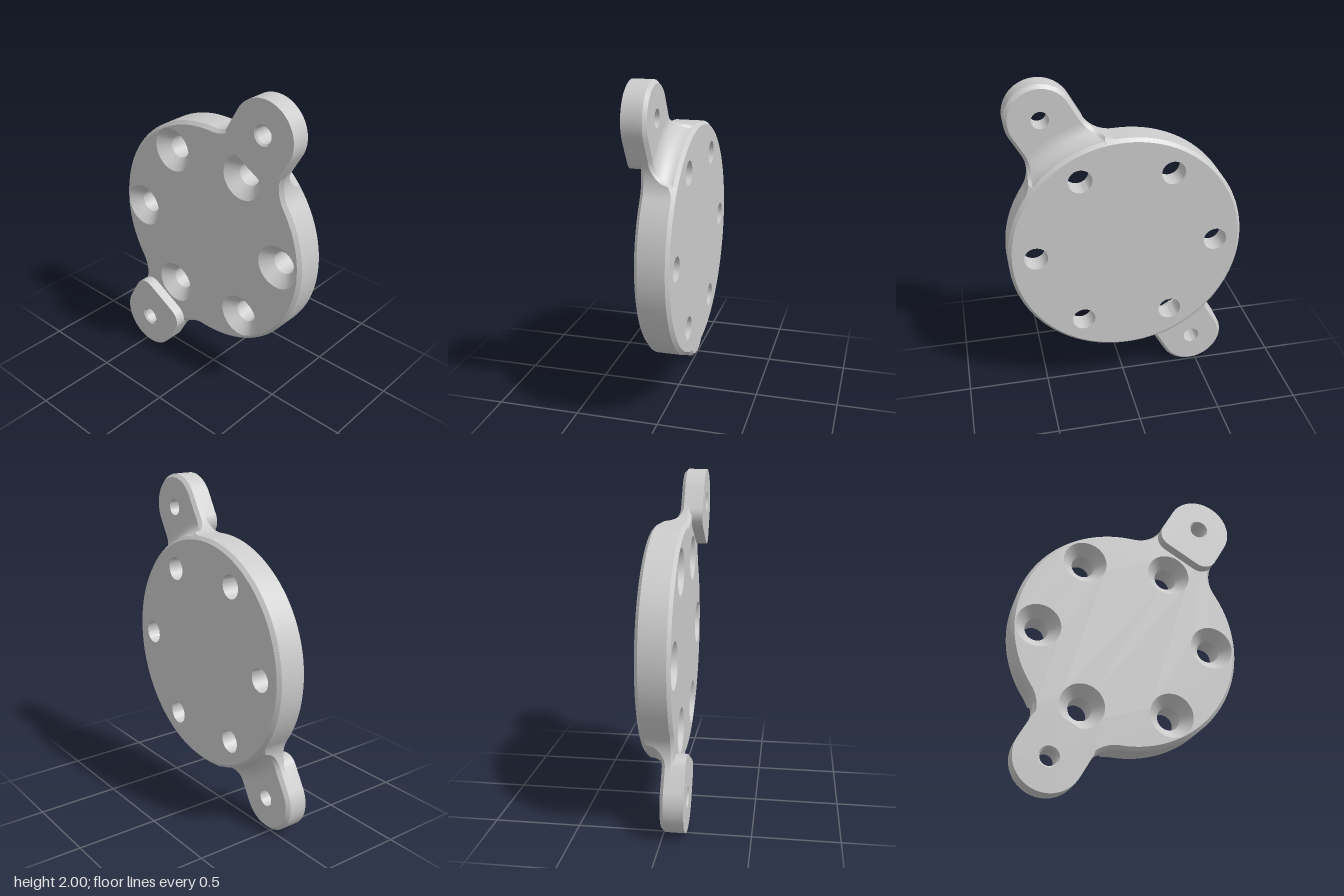
import * as THREE from 'three';
import { toCreasedNormals } from 'three/addons/utils/BufferGeometryUtils.js';

const R = 0.7, C = 0.02;                    // disc radius, edge chamfer
const TAB_U = 0.923, TAB_R = 0.2;           // ear distance and half width
const FIL = 0.2;                            // plan fillet between disc and ear
const FIL_A = Math.asin((TAB_R + FIL) / (R + FIL));
const FIL_U = (R + FIL) * Math.cos(FIL_A);
const BACK = -0.13, FRONT = 0.065, EAR_BACK = -0.005, EAR_FRONT = 0.13;
const FOOT = 0.8;                           // radius where the rear fillet meets the ear
const TILT = Math.PI / 3;
const V2 = (x, y) => new THREE.Vector2(x, y);
const O = V2(0, 0);

const mat = new THREE.MeshStandardMaterial({ color: 0xcccccc, side: THREE.DoubleSide });

function add(group, name, geo) {
  const m = new THREE.Mesh(geo, mat);
  m.name = name;
  group.add(m);
  return m;
}

function arc(out, cx, cy, r, a0, a1, n) {
  for (let i = 0; i < n; i++) {
    const a = a0 + (a1 - a0) * i / (n - 1);
    out.push(V2(cx + r * Math.cos(a), cy + r * Math.sin(a)));
  }
}

// Plan outline, inset by d; ears lie along the local x axis
function outline(d) {
  const half = [], P = Math.PI;
  arc(half, FIL_U, -TAB_R - FIL, FIL + d, P - FIL_A, P / 2, 16);
  arc(half, TAB_U, 0, TAB_R - d, -P / 2, P / 2, 33);
  arc(half, FIL_U, TAB_R + FIL, FIL + d, 1.5 * P, P + FIL_A, 16);
  const disc = [];
  arc(disc, 0, 0, R - d, FIL_A, P - FIL_A, 42);
  half.push(...disc.slice(1, -1));
  return half.concat(half.map(p => V2(-p.x, -p.y)));
}

// Height of the rear surface at radius r
function backZ(r) {
  if (r <= R) return BACK + Math.max(0, r - (R - C));
  const k = Math.max(0, (FOOT - r) / (FOOT - R));
  return BACK + C + (EAR_BACK - BACK - C) * Math.sqrt(Math.max(0, 1 - k * k));
}

// Skin a series of closed rings, ordered from back to front
function loft(rings) {
  const pos = [], n = rings[0].length, t = new THREE.Triangle();
  const tri = (a, b, c) => {
    if (t.set(a, b, c).getArea() > 1e-9) for (const p of [a, b, c]) pos.push(p.x, p.y, p.z);
  };
  for (let j = 0; j < rings.length - 1; j++) {
    for (let i = 0; i < n; i++) {
      const k = (i + 1) % n, A = rings[j], B = rings[j + 1];
      tri(A[i], A[k], B[k]);
      tri(A[i], B[k], B[i]);
    }
  }
  const g = new THREE.BufferGeometry();
  g.setAttribute('position', new THREE.Float32BufferAttribute(pos, 3));
  return toCreasedNormals(g, 0.6);
}

const ring = (pts, z) => pts.map(p => new THREE.Vector3(p.x, p.y, typeof z === 'function' ? z(p) : z));

function shapeWithHoles(pts, holes) {
  const s = new THREE.Shape(pts.filter((p, i) => i === 0 || p.distanceTo(pts[i - 1]) > 1e-5));
  for (const [c, r] of holes) s.holes.push(new THREE.Path().absarc(c.x, c.y, r, 0, Math.PI * 2, true));
  return s;
}

// Flat panel, optionally turned to face the rear
function panel(pts, holes, z, rear) {
  const g = new THREE.ShapeGeometry(shapeWithHoles(pts, holes), 24);
  g.translate(0, 0, z);
  if (rear) {
    const ix = g.index.array;
    for (let i = 0; i < ix.length; i += 3) [ix[i], ix[i + 1]] = [ix[i + 1], ix[i]];
    g.computeVertexNormals();
  }
  return g;
}

// Inner wall of a bore from [radius, z] pairs, front to back
function bore(c, profile) {
  const g = new THREE.LatheGeometry(profile.map(p => V2(p[0], p[1])), 48);
  g.rotateX(Math.PI / 2).translate(c.x, c.y, 0);
  return toCreasedNormals(g, 0.5);
}

// Raised pad of an ear: round outer end, softly cornered inner end
function padShape() {
  const pts = [], c = 0.09, u = 0.69, P = Math.PI;
  arc(pts, TAB_U, 0, TAB_R, -P / 2, P / 2, 33);
  arc(pts, u + c, TAB_R - c, c, P / 2, P, 10);
  arc(pts, u + c, -TAB_R + c, c, P, 1.5 * P, 10);
  return shapeWithHoles(pts, [[V2(TAB_U, 0), 0.06]]);
}

export function createModel() {
  const model = new THREE.Group();
  model.name = 'mountingPlate';
  model.position.y = 1;
  const plate = new THREE.Group();
  plate.name = 'plate';
  plate.rotation.z = TILT;
  model.add(plate);

  const outer = outline(0), inset = outline(C);
  const screws = [0, 1, 2, 3, 4, 5].map(k => V2(0.54 * Math.cos(k * TILT), 0.54 * Math.sin(k * TILT)));
  const ears = [V2(TAB_U, 0), V2(-TAB_U, 0)];

  // Direction of each rim point; ear points project along the ear axis
  const dirs = inset.map(p => p.length() > FOOT
    ? V2(Math.sign(p.x) * Math.sqrt(FOOT * FOOT - p.y * p.y), p.y).normalize()
    : p.clone().normalize());

  // Flat faces of the disc
  add(plate, 'frontFace', panel(inset,
    [...screws.map(c => [c, 0.135]), ...ears.map(c => [c, 0.06])], FRONT, false));
  add(plate, 'rearFace', panel(dirs.map(d => d.clone().multiplyScalar(R - C)),
    screws.map(c => [c, 0.07]), BACK, true));

  // Outer wall with front and rear chamfers
  const edgeBack = outer.map((p, i) => new THREE.Vector3(p.x, p.y, backZ(inset[i].length()) + C));
  add(plate, 'rim', loft([
    ring(inset, p => backZ(p.length())), edgeBack, ring(outer, FRONT - C), ring(inset, FRONT)]));

  // Rear chamfer and the hollow fillet that runs out onto the ears
  const rings = [ring(dirs.map(d => d.clone().multiplyScalar(R - C)), BACK)];
  const STEPS = 10;
  for (let j = 0; j <= STEPS; j++) {
    rings.push(dirs.map((d, i) => {
      const len = Math.min(FOOT, inset[i].length());
      const aMax = Math.acos(Math.min(1, (FOOT - len) / (FOOT - R)));
      const r = Math.min(len, FOOT - (FOOT - R) * Math.cos(aMax * j / STEPS));
      return new THREE.Vector3(d.x * r, d.y * r, backZ(r));
    }));
  }
  add(plate, 'rearFillet', loft(rings));

  // Rear face of an ear, bounded by the foot of the fillet
  const idx = inset.map((p, i) => i).filter(i => inset[i].x > 0 && inset[i].length() > FOOT);
  const a = idx[0], b = idx[idx.length - 1];
  const earOutline = inset.slice(a - 1, b + 2);
  for (let i = b; i >= a; i--) earOutline.push(dirs[i].clone().multiplyScalar(FOOT));

  for (const [side, turn] of [['left', 0], ['right', Math.PI]]) {
    const ear = new THREE.Group();
    ear.name = side + 'Ear';
    ear.rotation.z = turn;
    plate.add(ear);
    const rear = panel(earOutline, [[ears[0], 0.05]], 0, true);
    const p = rear.attributes.position;
    for (let i = 0; i < p.count; i++) p.setZ(i, backZ(Math.hypot(p.getX(i), p.getY(i))));
    add(ear, 'earRearFace', rear);
    const depth = EAR_FRONT - FRONT + C;
    const pad = new THREE.ExtrudeGeometry(padShape(), { depth, bevelEnabled: false, curveSegments: 24 });
    pad.translate(0, 0, FRONT - C);
    add(ear, 'earPad', toCreasedNormals(pad, 0.6));
    add(ear, 'earBore', bore(ears[0], [[0.06, EAR_FRONT], [0.05, EAR_FRONT - 0.01], [0.05, EAR_BACK]]));
  }

  // Countersunk screw holes
  for (const c of screws) {
    add(plate, 'countersunkHole', bore(c, [[0.135, FRONT], [0.07, 0], [0.07, BACK]]));
  }
  return model;
}
